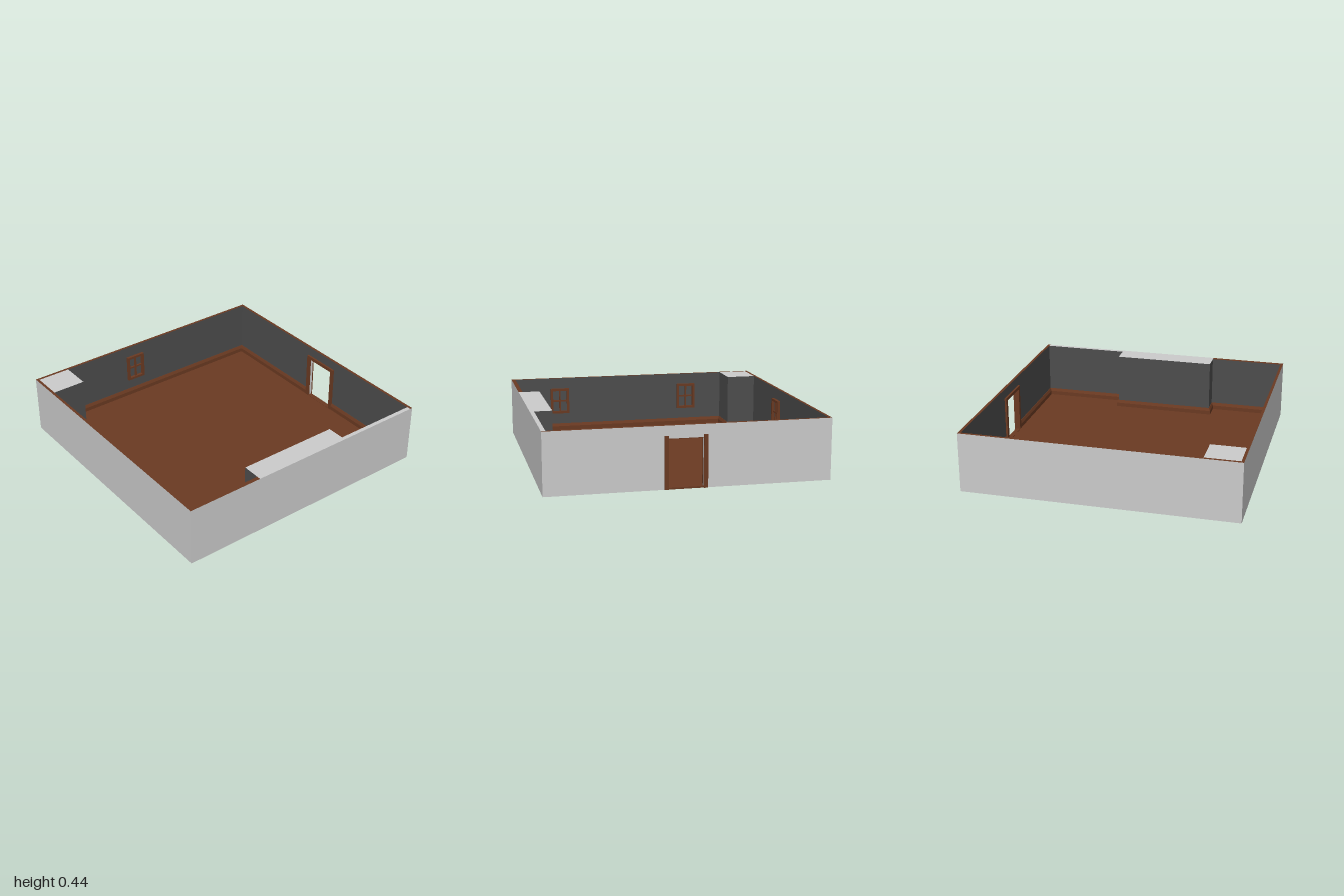
import * as THREE from 'three';

const material = (name, color) => {
  const m = new THREE.MeshStandardMaterial({ color });
  m.name = name;
  return m;
};

export function createModel() {
  const room = new THREE.Group();
  room.name = 'room';
  const plaster = material('light grey plaster', 0xcccccc);
  const paint = material('dark grey paint', 0x4d4d4d);
  const wood = material('brown wood', 0x6b3a22);
  const H = 0.44;

  // Box given by its limits on each axis
  function box(name, [x0, x1], [y0, y1], [z0, z1], mat, parent = room) {
    const mesh = new THREE.Mesh(new THREE.BoxGeometry(x1 - x0, y1 - y0, z1 - z0), mat);
    mesh.position.set((x0 + x1) / 2, (y0 + y1) / 2, (z0 + z1) / 2);
    mesh.name = name;
    parent.add(mesh);
    return mesh;
  }

  // Face materials: chosen sides painted dark, with a chosen top
  const faces = (dark, top) =>
    ['+x', '-x', '+y', '-y', '+z', '-z'].map((f) => (f === '+y' ? top : dark.includes(f) ? paint : plaster));

  // Floor
  box('floor', [-0.985, 0.975], [0, 0.01], [-0.985, 0.985], wood);

  // Walls, plaster outside and dark inside
  box('leftWall', [-1, -0.98], [0, H], [-1, 1], faces(['+x'], wood));
  box('backWall', [-0.98, 0.97], [0, H], [-1, -0.98], faces(['+z'], wood));
  box('frontWallShort', [-0.98, -0.43], [0, H], [0.97, 1], faces(['-z'], wood));
  box('frontWallLong', [-0.43, 0.97], [0, H], [0.97, 1], faces(['-z'], plaster));
  const doorWall = faces(['-x'], wood);
  box('doorWallFront', [0.97, 0.99], [0, H], [0.155, 1], doorWall);
  box('doorWallBack', [0.97, 0.99], [0, H], [-1, -0.09], doorWall);
  box('doorWallTop', [0.97, 0.99], [0.35, H], [-0.09, 0.155], doorWall);

  // Corner column and chimney breast
  box('cornerColumn', [-0.98, -0.73], [0.01, H], [-0.98, -0.755], faces(['+x', '+z'], plaster));
  box('chimneyBreast', [-0.43, 0.33], [0.01, H], [0.84, 0.97], faces(['+x', '-x', '-z'], plaster));

  // Door frame
  const door = new THREE.Group();
  door.name = 'doorFrame';
  room.add(door);
  box('doorPostFront', [0.955, 1], [0, 0.37], [0.152, 0.18], wood, door);
  box('doorPostBack', [0.955, 1], [0, 0.37], [-0.12, -0.09], wood, door);
  box('doorLintel', [0.955, 0.988], [0.345, 0.37], [-0.09, 0.152], wood, door);
  box('doorSill', [0.955, 0.992], [0, 0.012], [-0.09, 0.152], wood, door);

  // Skirting board: a profile swept along the inner wall line, mitred at corners
  const path = [
    [0.97, 0.18], [0.97, 0.97], [0.33, 0.97], [0.33, 0.84], [-0.43, 0.84], [-0.43, 0.97], [-0.98, 0.97],
    [-0.98, -0.755], [-0.73, -0.755], [-0.73, -0.98], [0.97, -0.98], [0.97, -0.12],
  ];
  const profile = [[0.013, 0.01], [0.013, 0.04], [0.004, 0.062], [0, 0.062]];
  const inward = path.slice(1).map(([x, z], i) => {
    const dx = x - path[i][0], dz = z - path[i][1], l = Math.hypot(dx, dz);
    return [-dz / l, dx / l];
  });
  const point = (i, j) => {
    const a = inward[i - 1] || [0, 0], b = inward[i] || [0, 0], o = profile[j][0];
    return [path[i][0] + (a[0] + b[0]) * o, profile[j][1], path[i][1] + (a[1] + b[1]) * o];
  };
  const pos = [];
  for (let i = 0; i < path.length - 1; i++) {
    for (let j = 0; j < profile.length - 1; j++) {
      const a = point(i, j), b = point(i + 1, j), c = point(i + 1, j + 1), d = point(i, j + 1);
      pos.push(...a, ...b, ...c, ...a, ...c, ...d);
    }
  }
  const geo = new THREE.BufferGeometry();
  geo.setAttribute('position', new THREE.Float32BufferAttribute(pos, 3));
  geo.computeVertexNormals();
  const skirting = new THREE.Mesh(geo, wood);
  skirting.name = 'skirtingBoard';
  room.add(skirting);

  // Window frames with four panes, facing +z before turning
  function windowFrame(name, x, z, turn) {
    const g = new THREE.Group();
    g.name = name;
    const w = 0.075, b = 0.018, y0 = 0.15, y1 = 0.355, mid = (y0 + y1) / 2;
    for (const s of [-1, 1]) {
      const e = [s * w, s * (w - b)].sort((p, q) => p - q);
      box('windowStile', e, [y0, y1], [0, 0.022], wood, g);
    }
    for (const y of [y0, y1 - b]) box('windowRail', [-w + b, w - b], [y, y + b], [0, 0.022], wood, g);
    box('windowUpright', [-0.006, 0.006], [y0 + b, y1 - b], [0, 0.014], wood, g);
    box('windowCrossbar', [-w + b, w - b], [mid - 0.006, mid + 0.006], [0, 0.013], wood, g);
    g.position.set(x, 0, z);
    g.rotation.y = turn;
    room.add(g);
  }
  windowFrame('backWindow', -0.125, -0.98, 0);
  windowFrame('leftWindowBack', -0.98, -0.455, Math.PI / 2);
  windowFrame('leftWindowFront', -0.98, 0.61, Math.PI / 2);

  return room;
}
